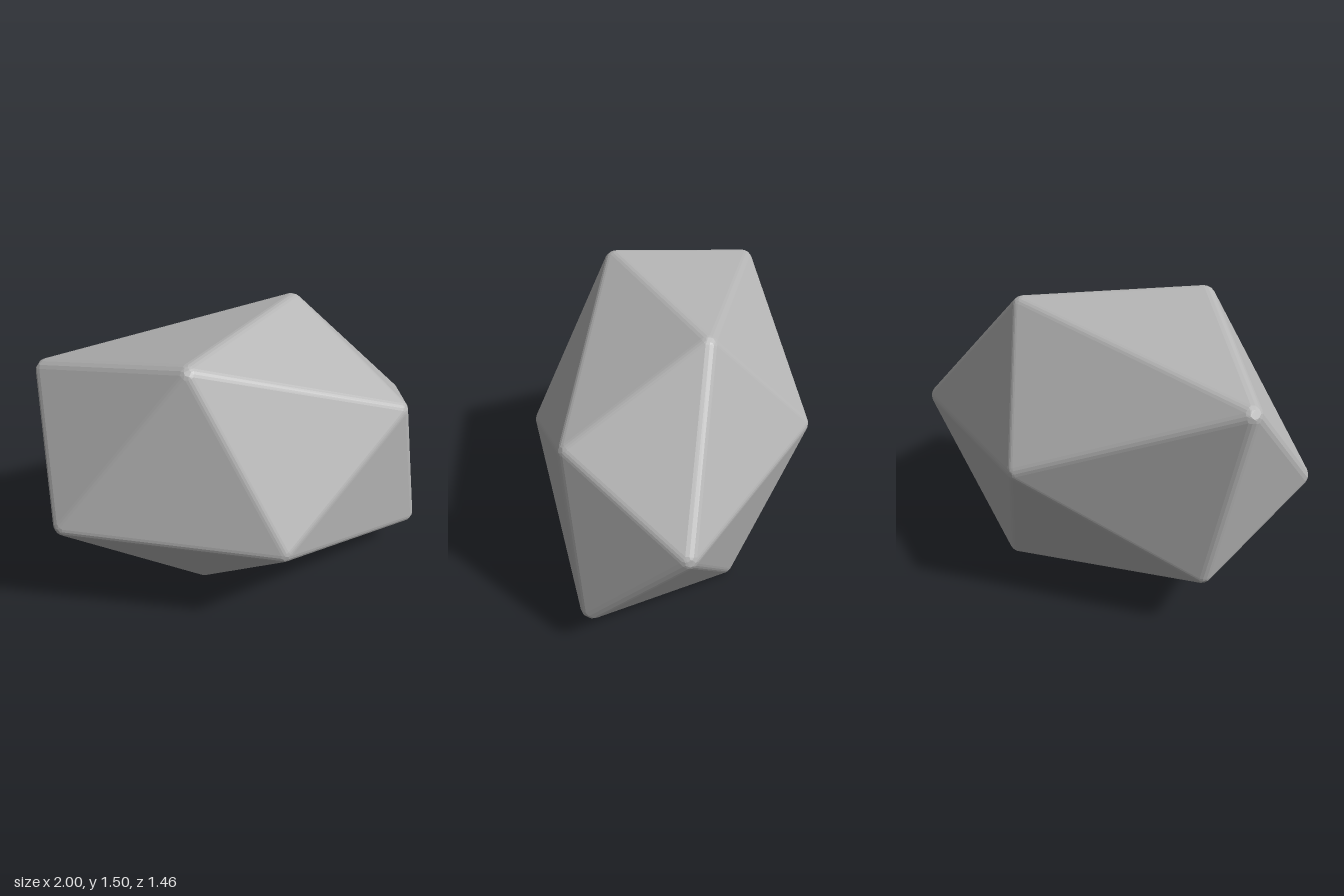
import * as THREE from 'three';
import { ConvexGeometry } from 'three/addons/geometries/ConvexGeometry.js';

const RADIUS = 0.06; // rounding of edges and corners
const STEPS = 3;     // flat strips per rounded edge

// Corners of the irregular twenty-sided stone
const CORNERS = [
  [-0.98, 1.25, -0.21], [-0.34, 1.485, 0.38], [0.34, 1.46, -0.28],
  [0.78, 1.06, 0.27], [0.995, 0.75, -0.35], [0.96, 0.21, 0.14],
  [0.34, 0.01, -0.41], [-0.27, 0.04, 0.18], [-0.83, 0.32, -0.26],
  [-0.995, 0.67, 0.34], [0.05, 0.615, 0.73], [-0.02, 0.82, -0.73],
];

// Hull whose corners and edges are rounded by a sphere of the given radius
function roundedHull(corners, radius, steps) {
  const core = new ConvexGeometry(corners);
  const pos = core.attributes.position;
  const nor = core.attributes.normal;
  const points = [];
  const v = new THREE.Vector3();
  for (const corner of corners) {
    // Normals of the faces that meet at this corner
    const normals = [];
    for (let i = 0; i < pos.count; i++) {
      if (v.fromBufferAttribute(pos, i).distanceTo(corner) < 1e-4) {
        normals.push(new THREE.Vector3().fromBufferAttribute(nor, i));
      }
    }
    // Sweep the rounding between each pair of face normals
    normals.forEach((a, i) => {
      points.push(corner.clone().addScaledVector(a, radius));
      for (const b of normals.slice(i + 1)) {
        for (let k = 1; k < steps; k++) {
          const dir = a.clone().lerp(b, k / steps).normalize();
          points.push(corner.clone().addScaledVector(dir, radius));
        }
      }
    });
  }
  return new ConvexGeometry(points);
}

export function createModel() {
  const group = new THREE.Group();
  group.name = 'rock';
  const stoneGrey = new THREE.MeshStandardMaterial({ color: 0xb4b4b4 });
  stoneGrey.name = 'stone grey';

  // Pull corners inward so the rounding ends at the outer surface
  const centre = new THREE.Vector3(0, 0.745, 0);
  const inner = CORNERS.map((c) => {
    const p = new THREE.Vector3(...c);
    const out = p.clone().sub(centre).normalize();
    return p.addScaledVector(out, -RADIUS);
  });

  const stone = new THREE.Mesh(roundedHull(inner, RADIUS, STEPS), stoneGrey);
  stone.name = 'stone';
  group.add(stone);
  return group;
}
